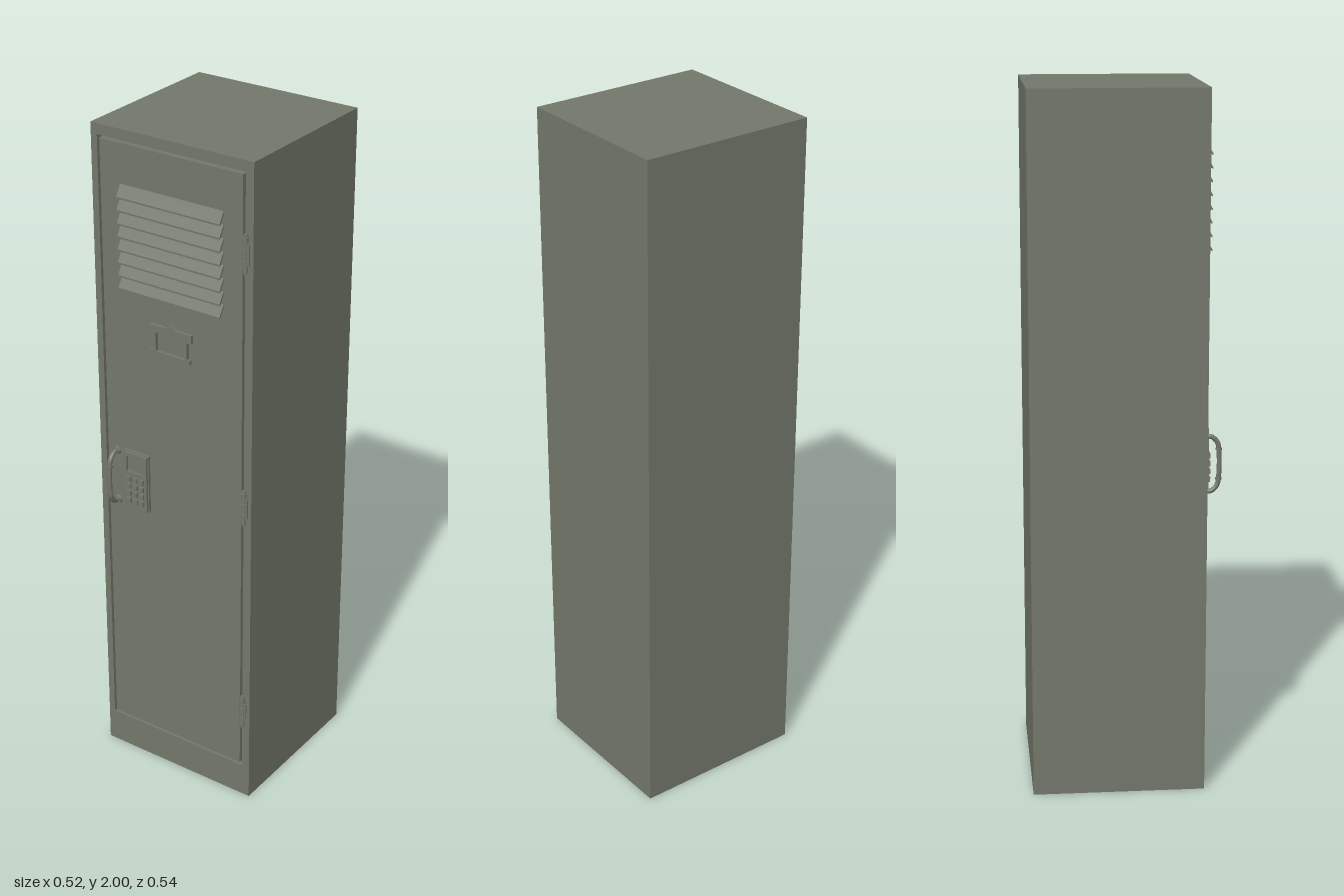
import * as THREE from 'three';

const paint = new THREE.MeshStandardMaterial({ color: 0x74786b });
paint.name = 'greyGreenPaint';

const FRONT = 0.222; // z of the door face

function add(parent, name, geometry, x = 0, y = 0, z = 0) {
  const mesh = new THREE.Mesh(geometry, paint);
  mesh.name = name;
  mesh.position.set(x, y, z);
  parent.add(mesh);
  return mesh;
}

// Box given by its limits on each axis
function block(parent, name, x0, x1, y0, y1, z0, z1) {
  return add(parent, name, new THREE.BoxGeometry(x1 - x0, y1 - y0, z1 - z0),
    (x0 + x1) / 2, (y0 + y1) / 2, (z0 + z1) / 2);
}

const rectPoints = (x0, x1, y0, y1) =>
  [[x0, y0], [x1, y0], [x1, y1], [x0, y1]].map(p => new THREE.Vector2(...p));

// Flat panel with rectangular openings, from z0 to z1
function panel(parent, name, outline, holes, z0, z1) {
  const shape = new THREE.Shape(outline);
  for (const h of holes) shape.holes.push(new THREE.Path(rectPoints(...h).reverse()));
  return add(parent, name,
    new THREE.ExtrudeGeometry(shape, { depth: z1 - z0, bevelEnabled: false }), 0, 0, z0);
}

function group(parent, name) {
  const g = new THREE.Group();
  g.name = name;
  parent.add(g);
  return g;
}

export function createModel() {
  const model = new THREE.Group();
  model.name = 'locker';

  // Cabinet with a front frame around the door
  block(model, 'cabinet', -0.259, 0.259, 0, 2, -0.27, 0.205);
  panel(model, 'doorFrame', rectPoints(-0.259, 0.259, 0, 2),
    [[-0.239, 0.234, 0.104, 1.969]], 0.205, FRONT);

  // Door, set in a narrow gap, with a slot under each louvre
  const pitch = 0.0375, count = 8, top = 1.848;
  const slots = [];
  for (let i = 0; i < count; i++) {
    const y = top - i * pitch;
    slots.push([-0.155, 0.155, y - 0.034, y - 0.018]);
  }
  panel(model, 'door', rectPoints(-0.231, 0.226, 0.112, 1.961), slots, 0.205, FRONT);

  // Louvre hoods: sloping outwards to the lower edge
  const louvres = group(model, 'louvres');
  const hood = new THREE.Shape([[0, 0], [0.018, -0.031], [0.018, -0.036], [0.013, -0.034], [0, -0.011]]
    .map(p => new THREE.Vector2(...p)));
  const hoodGeometry = new THREE.ExtrudeGeometry(hood, { depth: 0.332, bevelEnabled: false });
  for (let i = 0; i < count; i++) {
    const m = add(louvres, 'louvre', hoodGeometry, 0.166, top - i * pitch, FRONT);
    m.rotation.y = -Math.PI / 2;
  }

  // Name card holder with a top tab and side flanges
  const holderOutline = [[-0.07, 1.38], [0.062, 1.38], [0.062, 1.395], [0.053, 1.395], [0.053, 1.445],
    [0.067, 1.445], [0.067, 1.47], [0.015, 1.47], [0, 1.485], [-0.015, 1.47], [-0.07, 1.47],
    [-0.07, 1.445], [-0.06, 1.445], [-0.06, 1.395], [-0.07, 1.395]].map(p => new THREE.Vector2(...p));
  panel(model, 'cardHolder', holderOutline, [[-0.05, 0.045, 1.393, 1.45]], FRONT - 0.002, 0.232);

  // Pull handle
  const handle = group(model, 'handle');
  const path = new THREE.CatmullRomCurve3([[0.875, 0.222], [0.877, 0.24], [0.893, 0.256], [0.925, 0.261],
    [0.955, 0.262], [0.985, 0.261], [1.017, 0.256], [1.033, 0.24], [1.035, 0.222]]
    .map(([y, z]) => new THREE.Vector3(-0.2, y, z)));
  add(handle, 'handleBar', new THREE.TubeGeometry(path, 40, 0.007, 12));
  for (const y of [0.875, 1.035]) {
    const flange = add(handle, 'handleFlange',
      new THREE.CylinderGeometry(0.011, 0.013, 0.008, 16), -0.2, y, FRONT + 0.003);
    flange.rotation.x = Math.PI / 2;
  }
  for (const y of [0.912, 0.998]) {
    add(handle, 'gripRing', new THREE.CylinderGeometry(0.009, 0.009, 0.006, 14), -0.2, y, 0.26);
  }

  // Keypad lock: housing, recessed display and twelve keys
  const keypad = group(model, 'keypadLock');
  block(keypad, 'lockBase', -0.169, -0.085, 0.868, 1.05, FRONT - 0.002, 0.23);
  panel(keypad, 'lockHousing', rectPoints(-0.166, -0.088, 0.871, 1.047),
    [[-0.157, -0.097, 0.988, 1.035]], 0.23, 0.237);
  for (let row = 0; row < 4; row++) {
    for (let col = 0; col < 3; col++) {
      add(keypad, 'key', new THREE.BoxGeometry(0.016, 0.015, 0.007),
        -0.149 + col * 0.022, 0.897 + row * 0.023, 0.2395);
    }
  }

  // Hinges: knuckles on a pin along the right edge of the door
  for (const y of [1.745, 0.99, 0.302]) {
    const hinge = group(model, 'hinge');
    for (const dy of [-0.033, 0, 0.033]) {
      add(hinge, 'knuckle', new THREE.CylinderGeometry(0.008, 0.008, 0.031, 14), 0.235, y + dy, 0.223);
    }
    add(hinge, 'pin', new THREE.CylinderGeometry(0.005, 0.005, 0.112, 10), 0.235, y, 0.223);
    block(hinge, 'leaf', 0.235, 0.248, y - 0.03, y + 0.03, FRONT - 0.002, 0.226);
  }

  return model;
}
